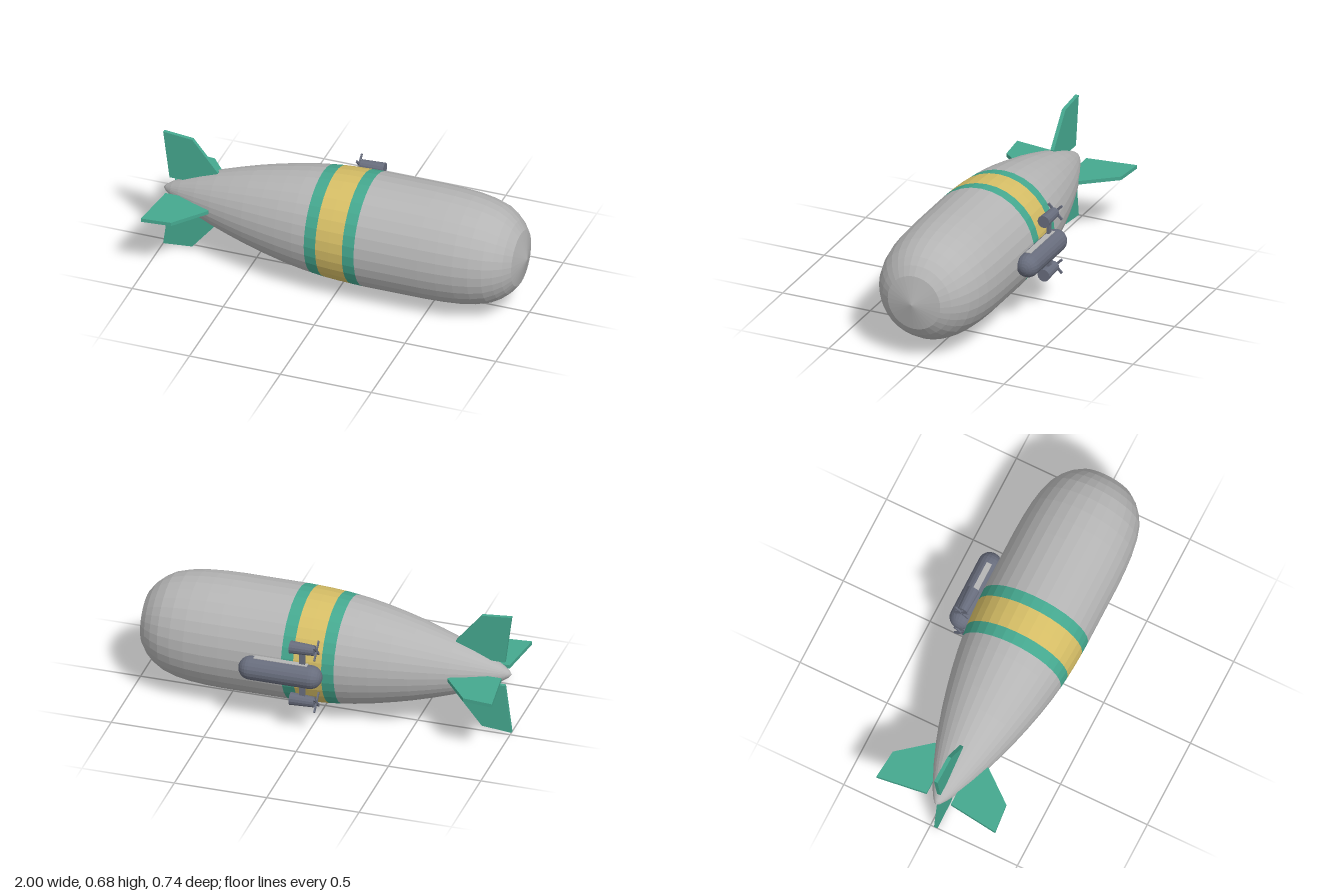
import * as THREE from 'three';

const AXIS_Y = 0.343, AXIS_Z = 0.03;

const paint = (hex) => new THREE.MeshStandardMaterial({ color: hex });

// Faceted look: every face gets its own normal
function facet(geometry) {
  const g = geometry.index ? geometry.toNonIndexed() : geometry;
  g.computeVertexNormals();
  return g;
}

function addMesh(parent, name, geometry, material) {
  const mesh = new THREE.Mesh(facet(geometry), material);
  mesh.name = name;
  parent.add(mesh);
  return mesh;
}

// Turned section of the hull, from [x, radius] pairs running tail to nose
function hullSection(points) {
  const profile = points.map(([x, r]) => new THREE.Vector2(r, x));
  return new THREE.LatheGeometry(profile, 32).rotateZ(-Math.PI / 2);
}

export function createModel() {
  const model = new THREE.Group();
  model.name = 'airship';

  const hullGrey = paint(0xb5b5b5);
  hullGrey.name = 'hull grey';
  const green = paint(0x45a88f);
  green.name = 'sea green';
  const yellow = paint(0xd6be66);
  yellow.name = 'sand yellow';
  const slate = paint(0x686d7d);
  slate.name = 'slate';

  // Hull and painted bands
  const hull = new THREE.Group();
  hull.name = 'hull';
  hull.position.set(0, AXIS_Y, AXIS_Z);
  model.add(hull);
  addMesh(hull, 'tailSection', hullSection([
    [-1, 0], [-0.985, 0.018], [-0.95, 0.042], [-0.9, 0.068], [-0.8, 0.112], [-0.7, 0.15],
    [-0.6, 0.182], [-0.5, 0.211], [-0.4, 0.236], [-0.3, 0.258], [-0.2, 0.276], [-0.125, 0.286],
  ]), hullGrey);
  addMesh(hull, 'rearBand', hullSection([[-0.125, 0.286], [-0.06, 0.293]]), green);
  addMesh(hull, 'middleBand', hullSection([[-0.06, 0.293], [0.015, 0.298], [0.09, 0.301]]), yellow);
  addMesh(hull, 'frontBand', hullSection([[0.09, 0.301], [0.155, 0.303]]), green);
  addMesh(hull, 'noseSection', hullSection([
    [0.155, 0.303], [0.5, 0.303], [0.6, 0.3], [0.69, 0.293], [0.77, 0.28], [0.84, 0.259],
    [0.89, 0.23], [0.93, 0.196], [0.965, 0.15], [1, 0],
  ]), hullGrey);

  // Four tail fins around the axis
  const finShape = new THREE.Shape([
    [-1, 0.342], [-0.965, 0.07], [-0.7, 0.07], [-0.7, 0.155], [-0.84, 0.327],
  ].map(([x, y]) => new THREE.Vector2(x, y)));
  const finGeometry = new THREE.ExtrudeGeometry(finShape, { depth: 0.02, bevelEnabled: false })
    .translate(0, 0, -0.01);
  ['topFin', 'frontFin', 'bottomFin', 'rearFin'].forEach((name, i) => {
    addMesh(hull, name, finGeometry, green).rotation.x = i * Math.PI / 2;
  });

  // Gondola on the hull's side
  const gondola = new THREE.Group();
  gondola.name = 'gondola';
  gondola.position.set(0, AXIS_Y, -0.31);
  model.add(gondola);
  addMesh(gondola, 'cabin',
    new THREE.CapsuleGeometry(0.0625, 0.325, 6, 20).rotateZ(-Math.PI / 2), slate)
    .position.x = 0.145;
  addMesh(gondola, 'roofPlate', new THREE.BoxGeometry(0.29, 0.006, 0.03), hullGrey)
    .position.set(0.145, 0.061, 0.007);

  // Mirrored engine pods, struts and propellers
  for (const side of [1, -1]) {
    const engine = new THREE.Group();
    engine.name = side > 0 ? 'upperEngine' : 'lowerEngine';
    engine.position.set(0.03, side * 0.153, 0.013);
    gondola.add(engine);
    addMesh(engine, 'pod',
      new THREE.CylinderGeometry(0.034, 0.028, 0.13, 14).rotateZ(-Math.PI / 2), slate);
    addMesh(engine, 'strut', new THREE.BoxGeometry(0.03, 0.08, 0.014), slate)
      .position.y = -side * 0.06;
    addMesh(engine, 'propellerHub',
      new THREE.CylinderGeometry(0.008, 0.008, 0.02, 8).rotateZ(-Math.PI / 2), slate)
      .position.x = -0.072;
    for (const turn of [1, -1]) {
      const blade = addMesh(engine, 'propellerBlades',
        new THREE.BoxGeometry(0.008, 0.11, 0.013), slate);
      blade.position.x = -0.076;
      blade.rotation.x = turn * Math.PI / 4;
    }
  }

  return model;
}
